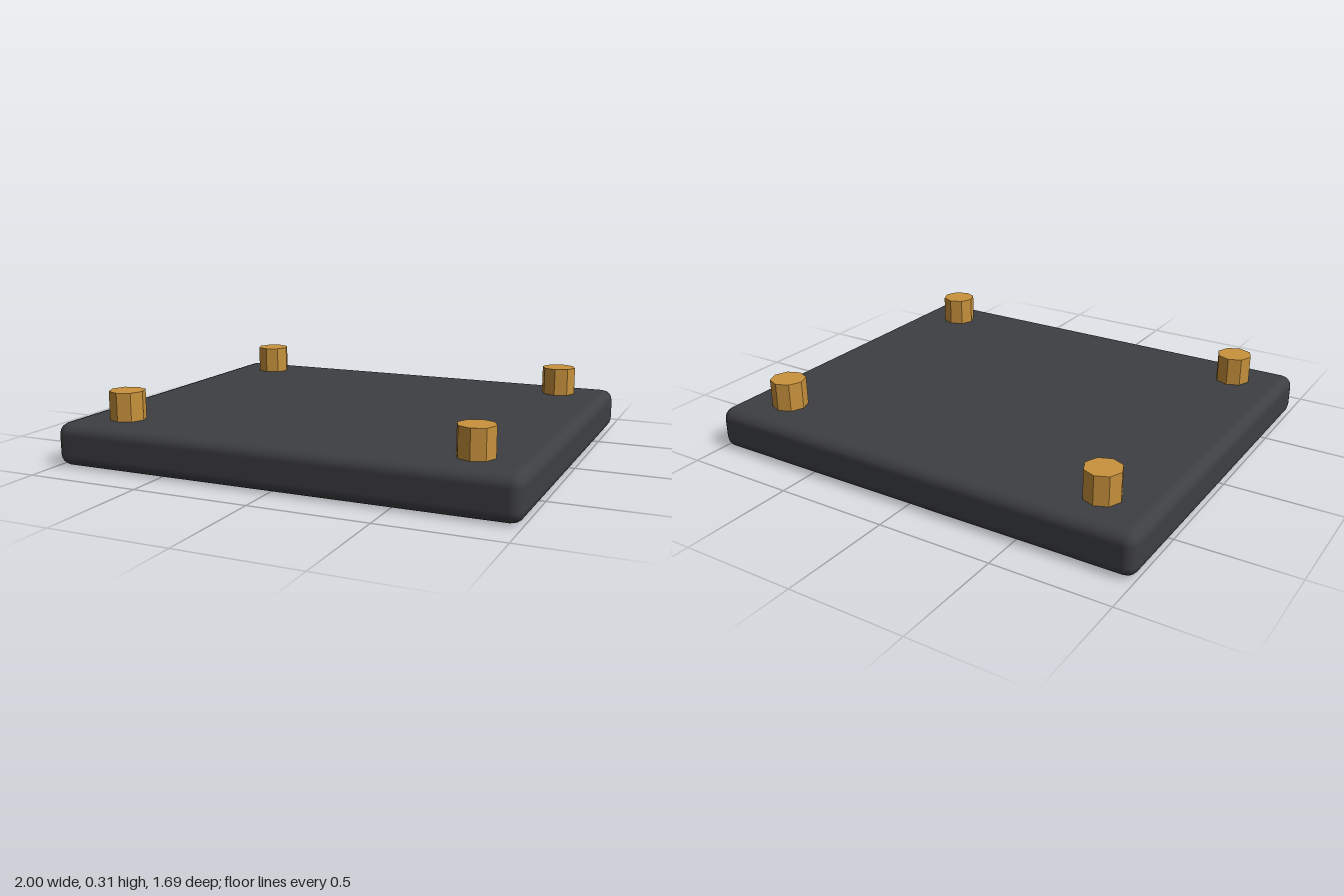
import * as THREE from 'three';
import { RoundedBoxGeometry } from 'three/addons/geometries/RoundedBoxGeometry.js';

export function createModel() {
  const model = new THREE.Group();
  const plateMat = new THREE.MeshStandardMaterial({ color: 0x3e3f43 });
  const pegMat = new THREE.MeshStandardMaterial({ color: 0xc8923c, flatShading: true });

  // Slab with softly rounded edges
  const height = 0.185;
  const plate = new THREE.Mesh(new RoundedBoxGeometry(2, height, 1.69, 2, 0.05), plateMat);
  plate.name = 'basePlate';
  plate.position.y = height / 2;
  model.add(plate);

  // Eight-sided pegs near the four corners, sunk slightly into the slab
  const top = 0.308, bottom = 0.165;
  const pegGeo = new THREE.CylinderGeometry(0.077, 0.077, top - bottom, 8);
  for (const [x, side] of [[0.77, 'Left'], [-0.77, 'Right']]) {
    for (const [z, end] of [[0.647, 'front'], [-0.647, 'back']]) {
      const peg = new THREE.Mesh(pegGeo, pegMat);
      peg.name = `${end}${side}Peg`;
      peg.position.set(x, (top + bottom) / 2, z);
      model.add(peg);
    }
  }
  return model;
}
